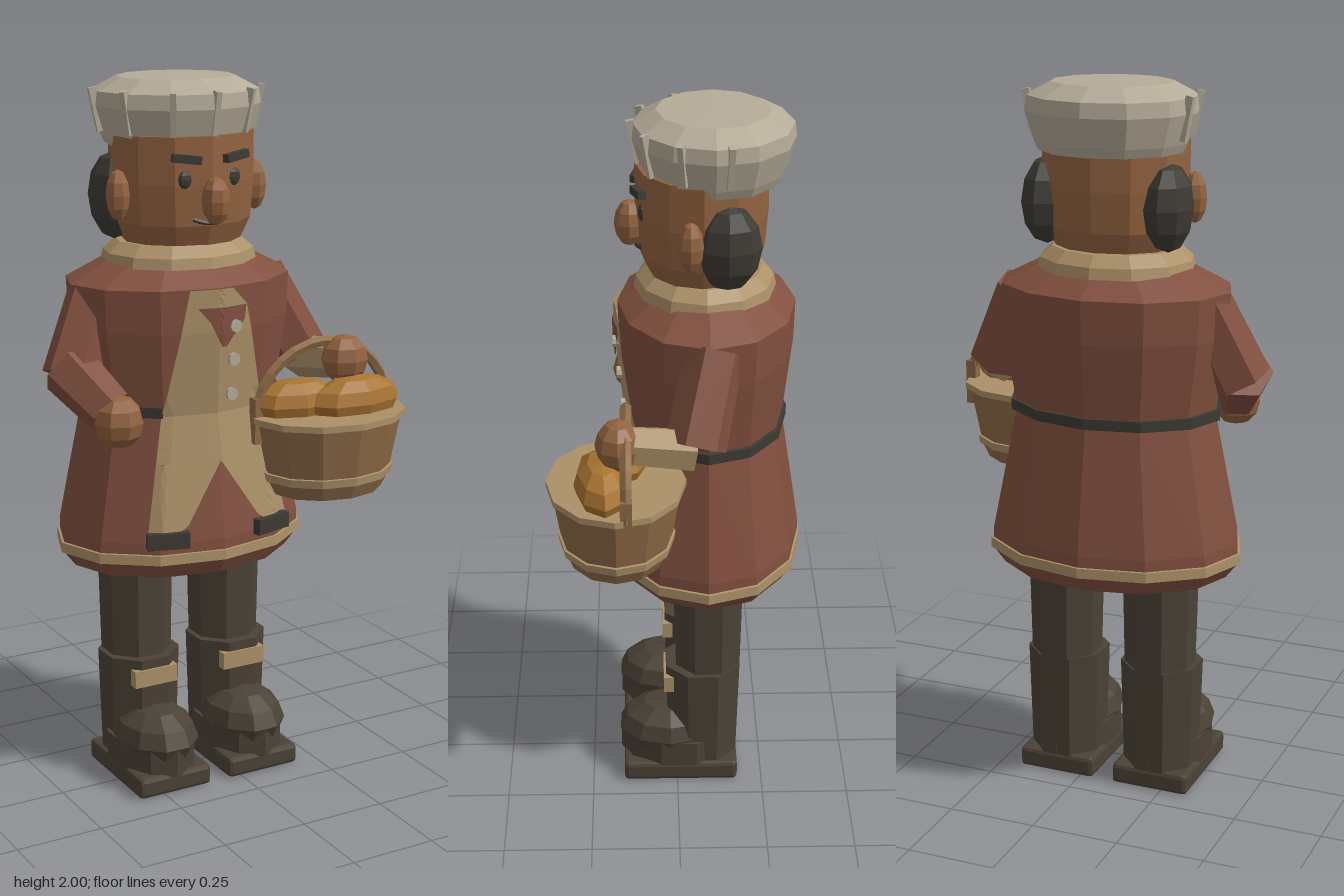
import * as THREE from 'three';
import { RoundedBoxGeometry } from 'three/addons/geometries/RoundedBoxGeometry.js';

const paint = (name, color) => {
  const m = new THREE.MeshStandardMaterial({ color, flatShading: true, side: THREE.DoubleSide });
  m.name = name;
  return m;
};
const V = (x, y, z) => new THREE.Vector3(x, y, z);

export function createModel() {
  const root = new THREE.Group();
  root.name = 'basketCarrier';
  const M = {
    coat: paint('coatRed', 0x82503f),
    tan: paint('linenTan', 0xac9168),
    dark: paint('trouserBrown', 0x4b4236),
    belt: paint('charcoal', 0x3e3b34),
    skin: paint('skin', 0x936340),
    hat: paint('hatGrey', 0xb5ab98),
    bread: paint('breadGold', 0xa87430),
    wicker: paint('basketBrown', 0x8e6b47),
  };

  function add(name, geo, mat, x = 0, y = 0, z = 0, parent = root) {
    const mesh = new THREE.Mesh(geo, mat);
    mesh.name = name;
    mesh.position.set(x, y, z);
    parent.add(mesh);
    return mesh;
  }
  // Faceted ring stack: profile of [radius, y], squashed in depth
  function lathe(name, pts, mat, x, z, depth = 1, segs = 12, start = 0, len = Math.PI * 2) {
    const geo = new THREE.LatheGeometry(pts.map(p => new THREE.Vector2(p[0], p[1])), segs, start, len);
    geo.scale(1, 1, depth);
    return add(name, geo, mat, x, 0, z);
  }
  function blob(name, mat, c, r, w = 8, h = 6) {
    const geo = new THREE.SphereGeometry(1, w, h);
    geo.scale(...r);
    return add(name, geo, mat, ...c);
  }
  // Tapered prism between two points
  function limb(name, mat, a, b, ra, rb, sides = 6) {
    const d = b.clone().sub(a);
    const mesh = add(name, new THREE.CylinderGeometry(rb, ra, d.length(), sides), mat);
    mesh.position.copy(a).add(b).multiplyScalar(0.5);
    mesh.quaternion.setFromUnitVectors(V(0, 1, 0), d.normalize());
    return mesh;
  }

  // Coat
  const CX = -0.075, CZ = -0.085, DEPTH = 0.745;
  const coat = [[0, 0.645], [0.33, 0.645], [0.365, 0.69], [0.363, 0.75], [0.29, 1.1],
    [0.325, 1.33], [0.33, 1.45], [0.21, 1.51], [0, 1.51]];
  lathe('coat', coat, M.coat, CX, CZ, DEPTH);
  lathe('hemTrim', [[0.362, 0.688], [0.372, 0.69], [0.371, 0.718], [0.36, 0.72]], M.tan, CX, CZ, DEPTH);
  lathe('belt', [[0.285, 1.095], [0.305, 1.095], [0.306, 1.125], [0.285, 1.125]],
    M.belt, CX, CZ, DEPTH, 10, Math.PI / 6, Math.PI * 5 / 3);
  lathe('collar', [[0.18, 1.49], [0.222, 1.495], [0.215, 1.525], [0.18, 1.555], [0, 1.555]], M.tan, CX, -0.08, 0.88);

  // Depth of the coat's front at a point
  function coatZ(x, y) {
    let i = 2;
    while (i < 6 && coat[i + 1][1] < y) i++;
    const t = (y - coat[i][1]) / (coat[i + 1][1] - coat[i][1]);
    const r = coat[i][0] + t * (coat[i + 1][0] - coat[i][0]);
    const u = Math.min(Math.abs(x - CX) / r, 0.99);
    const q = [[0, 1], [0.5, 0.866], [0.866, 0.5], [1, 0]];
    const k = u < 0.5 ? 0 : u < 0.866 ? 1 : 2;
    const s = (u - q[k][0]) / (q[k + 1][0] - q[k][0]);
    return CZ + DEPTH * r * (q[k][1] + s * (q[k + 1][1] - q[k][1]));
  }
  // Cloth patch lying on the coat, from rows of [y, left, right]
  function patch(name, mat, rows, lift) {
    const pos = [], idx = [], N = 10, S = 4;
    const lerp = THREE.MathUtils.lerp;
    for (let r = 0; r <= (rows.length - 1) * S; r++) {
      const i = Math.min(Math.floor(r / S), rows.length - 2), t = r / S - i;
      const [y, a, b] = [0, 1, 2].map(k => lerp(rows[i][k], rows[i + 1][k], t));
      for (let c = 0; c <= N; c++) {
        const x = lerp(a, b, c / N);
        pos.push(x, y, coatZ(x, y) + lift);
        if (r && c) {
          const p = r * (N + 1) + c, q = p - N - 1;
          idx.push(q - 1, p - 1, p, q - 1, p, q);
        }
      }
    }
    const geo = new THREE.BufferGeometry();
    geo.setAttribute('position', new THREE.Float32BufferAttribute(pos, 3));
    geo.setIndex(idx);
    geo.computeVertexNormals();
    add(name, geo, mat);
  }
  patch('shirtFront', M.tan, [[1.45, -0.165, -0.04], [1.4, -0.175, 0.01], [1.33, -0.188, 0.027],
    [1.1, -0.23, 0.082], [0.97, -0.253, 0.113]], 0.013);
  patch('shirtTailRight', M.tan, [[0.97, -0.253, -0.075], [0.8, -0.283, -0.18], [0.735, -0.295, -0.27]], 0.013);
  patch('shirtTailLeft', M.tan, [[0.97, -0.075, 0.113], [0.8, 0.04, 0.154], [0.735, 0.12, 0.17]], 0.013);
  patch('neckFlap', M.coat, [[1.4, -0.145, 0.005], [1.36, -0.11, 0], [1.29, -0.075, -0.06]], 0.018);
  for (const y of [1.345, 1.25, 1.15]) {
    const b = add('button', new THREE.CylinderGeometry(0.018, 0.018, 0.016, 8), M.hat, -0.033, y, coatZ(-0.033, y) + 0.018);
    b.rotation.x = Math.PI / 2;
  }
  for (const [x, turn] of [[-0.24, -0.28], [0.088, 0.28]]) {
    const p = add('pocketFlap', new THREE.BoxGeometry(0.12, 0.045, 0.025), M.belt, x, 0.763, coatZ(x, 0.763) + 0.012);
    p.rotation.y = turn;
  }

  // Legs and boots
  for (const x of [-0.215, 0.073]) {
    add('trouserLeg', new THREE.CylinderGeometry(0.108, 0.1, 0.38, 8).rotateY(Math.PI / 8), M.dark, x, 0.51, -0.09);
    add('bootShaft', new THREE.CylinderGeometry(0.117, 0.108, 0.31, 8).rotateY(Math.PI / 8), M.dark, x, 0.21, -0.075);
    blob('bootToe', M.dark, [x, 0.135, 0.02], [0.119, 0.09, 0.155], 10, 6);
    add('bootWelt', new THREE.CylinderGeometry(0.118, 0.118, 0.08, 10).scale(1, 1, 1.45), M.dark, x, 0.09, -0.005);
    add('sole', new RoundedBoxGeometry(0.228, 0.06, 0.335, 1, 0.012), M.dark, x, 0.03, -0.01);
    add('bootStrap', new THREE.BoxGeometry(0.135, 0.05, 0.03), M.tan, x, 0.312, 0.024);
  }

  // Arms
  limb('rightUpperArm', M.coat, V(-0.325, 1.42, -0.09), V(-0.425, 1.2, -0.045), 0.08, 0.085);
  limb('rightForearm', M.coat, V(-0.435, 1.23, -0.05), V(-0.37, 1.125, 0.08), 0.08, 0.068);
  blob('rightHand', M.skin, [-0.36, 1.105, 0.11], [0.07, 0.074, 0.07]);
  limb('leftUpperArm', M.coat, V(0.19, 1.42, -0.1), V(0.3, 1.19, -0.045), 0.08, 0.085);
  limb('leftForearm', M.tan, V(0.3, 1.18, -0.04), V(0.32, 1.205, 0.13), 0.062, 0.056);
  blob('leftHand', M.skin, [0.325, 1.21, 0.16], [0.072, 0.07, 0.062]);

  // Head
  const HX = -0.07, HZ = -0.07;
  lathe('head', [[0, 1.53], [0.16, 1.535], [0.195, 1.61], [0.205, 1.72], [0.205, 1.85], [0, 1.87]], M.skin, HX, HZ, 0.88);
  blob('nose', M.skin, [HX, 1.68, 0.125], [0.04, 0.066, 0.042]);
  for (const s of [-1, 1]) {
    blob('ear', M.skin, [HX + s * 0.212, 1.69, -0.035], [0.034, 0.07, 0.035]);
    blob('sideHair', M.belt, [HX + s * 0.175, 1.675, -0.135], [0.068, 0.12, 0.09], 8, 6);
    blob('eye', M.belt, [HX + s * 0.074, 1.737, 0.09], [0.021, 0.025, 0.012]);
    const brow = add('eyebrow', new THREE.BoxGeometry(0.08, 0.022, 0.025), M.belt, HX + s * 0.075, 1.793, 0.1);
    brow.rotation.set(0, s * 0.28, s * 0.12);
  }
  const smile = new THREE.QuadraticBezierCurve3(V(-0.052, 0.008, -0.012), V(0, -0.016, 0.014), V(0.052, 0.008, -0.012));
  add('mouth', new THREE.TubeGeometry(smile, 6, 0.006, 4), M.belt, HX, 1.622, 0.106);

  // Hat with pleats round the front
  const hatZ = -0.1, hatDepth = 0.93;
  lathe('hat', [[0, 1.82], [0.2, 1.815], [0.212, 1.84], [0.237, 1.92], [0.232, 1.96], [0.165, 1.995], [0, 2]],
    M.hat, HX, hatZ, hatDepth);
  for (const deg of [-100, -62, -28, 2, 34, 66, 100]) {
    const a = deg * Math.PI / 180;
    const p = add('hatPleat', new THREE.BoxGeometry(0.016, 0.12, 0.022), M.hat,
      HX + Math.sin(a) * 0.226, 1.91, hatZ + Math.cos(a) * 0.226 * hatDepth);
    p.rotation.set(0.2, a, 0, 'YXZ');
  }

  // Basket
  const BX = 0.265, BZ = 0.168;
  lathe('basket', [[0, 0.845], [0.165, 0.845], [0.185, 0.885], [0.22, 1.055], [0, 1.055]], M.wicker, BX, BZ, 0.81);
  lathe('basketBand', [[0.182, 0.885], [0.194, 0.887], [0.198, 0.91], [0.185, 0.912]], M.tan, BX, BZ, 0.81);
  lathe('basketRim', [[0.21, 1.05], [0.234, 1.055], [0.234, 1.073], [0, 1.073]], M.tan, BX, BZ, 0.81);
  add('basketHandle', new THREE.TorusGeometry(0.215, 0.016, 5, 14, Math.PI).scale(1, 0.92, 1), M.wicker, BX, 1.065, 0.14);
  for (const s of [-1, 1]) {
    add('handlePost', new THREE.BoxGeometry(0.03, 0.13, 0.032), M.wicker, BX + s * 0.212, 1.06, 0.14);
  }
  const loafA = blob('loaf', M.bread, [0.335, 1.1, 0.205], [0.152, 0.072, 0.075], 8, 6);
  loafA.rotation.y = 0.08;
  const loafB = blob('loaf', M.bread, [0.175, 1.1, 0.15], [0.135, 0.07, 0.075], 8, 6);
  loafB.rotation.y = -0.1;

  return root;
}
